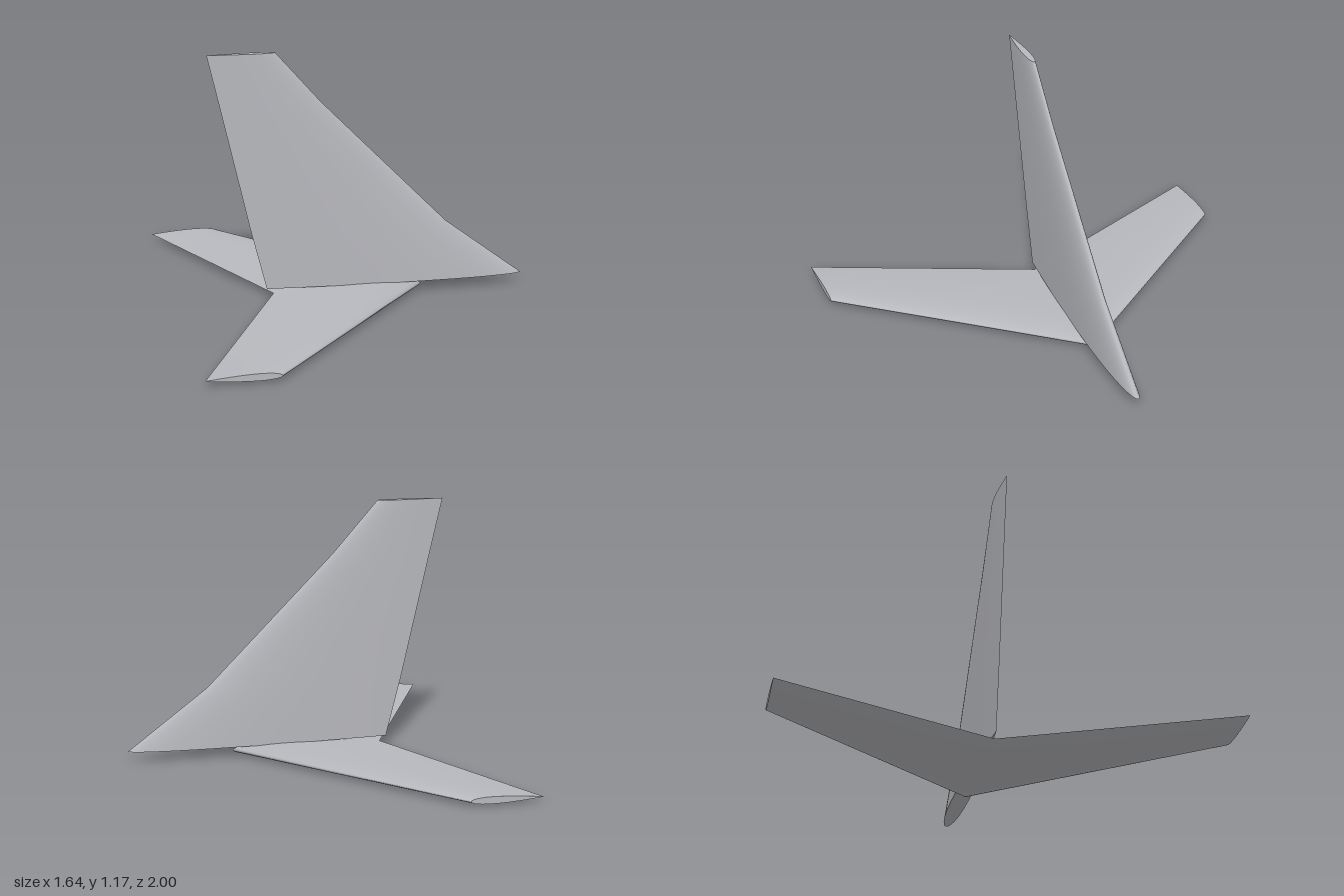
import * as THREE from 'three';

const STEPS = 20; // points per side of the airfoil

// Half thickness of a symmetric airfoil at chord fraction s, scaled to a maximum of 1
const airfoil = (s) =>
  10 * (0.2969 * Math.sqrt(s) - 0.126 * s - 0.3516 * s * s + 0.2843 * s ** 3 - 0.1036 * s ** 4);

// Closed outline: trailing edge -> nose -> trailing edge, as [chord fraction, thickness]
const outline = [];
for (let i = 0; i <= 2 * STEPS; i++) {
  const s = (1 + Math.cos((Math.PI * i) / STEPS)) / 2;
  outline.push([s, Math.max(0, airfoil(s)) * (i <= STEPS ? 1 : -1)]);
}

// Loft airfoil sections [span, leading x, trailing x, half thickness] along y, with flat end caps
function loftSurface(sections) {
  const pos = [];
  const index = [];
  const n = outline.length;
  const addRing = ([span, lead, trail, half]) => {
    const start = pos.length / 3;
    for (const [s, t] of outline) pos.push(lead + (trail - lead) * s, span, half * t);
    return start;
  };
  const rings = sections.map(addRing);
  for (let r = 0; r < rings.length - 1; r++) {
    for (let j = 0; j < n - 1; j++) {
      const a = rings[r] + j, b = rings[r + 1] + j;
      index.push(a, a + 1, b + 1, a, b + 1, b);
    }
  }
  // Caps have their own vertices so their rims stay sharp
  const bottom = addRing(sections[0]);
  const top = addRing(sections[sections.length - 1]);
  for (let j = 1; j < n - 2; j++) {
    index.push(top, top + j, top + j + 1);
    index.push(bottom, bottom + j + 1, bottom + j);
  }
  const geo = new THREE.BufferGeometry();
  geo.setAttribute('position', new THREE.Float32BufferAttribute(pos, 3));
  geo.setIndex(index);
  geo.computeVertexNormals();
  return geo;
}

export function createModel() {
  const model = new THREE.Group();
  model.name = 'tailAssembly';
  const paleGrey = new THREE.MeshStandardMaterial({ color: 0xb8b9be });
  paleGrey.name = 'paleGrey';

  // Upright fin with a swept fillet at its foot
  const fin = new THREE.Mesh(loftSurface([
    [0.05, 0.82, -0.4, 0.04],
    [0.33, 0.45, -0.47, 0.034],
    [0.93, -0.14, -0.605, 0.022],
    [1.17, -0.35, -0.66, 0.017],
  ]), paleGrey);
  fin.name = 'verticalFin';
  model.add(fin);

  // Swept stabilizer, tip to tip, laid flat under the fin
  const flat = loftSurface([
    [-1, -0.5, -0.825, 0.016],
    [0, 0.333, -0.37, 0.027],
    [1, -0.5, -0.825, 0.016],
  ]);
  flat.rotateX(Math.PI / 2);
  const stabilizer = new THREE.Mesh(flat, paleGrey);
  stabilizer.name = 'horizontalStabilizer';
  stabilizer.position.y = 0.027;
  model.add(stabilizer);

  return model;
}
